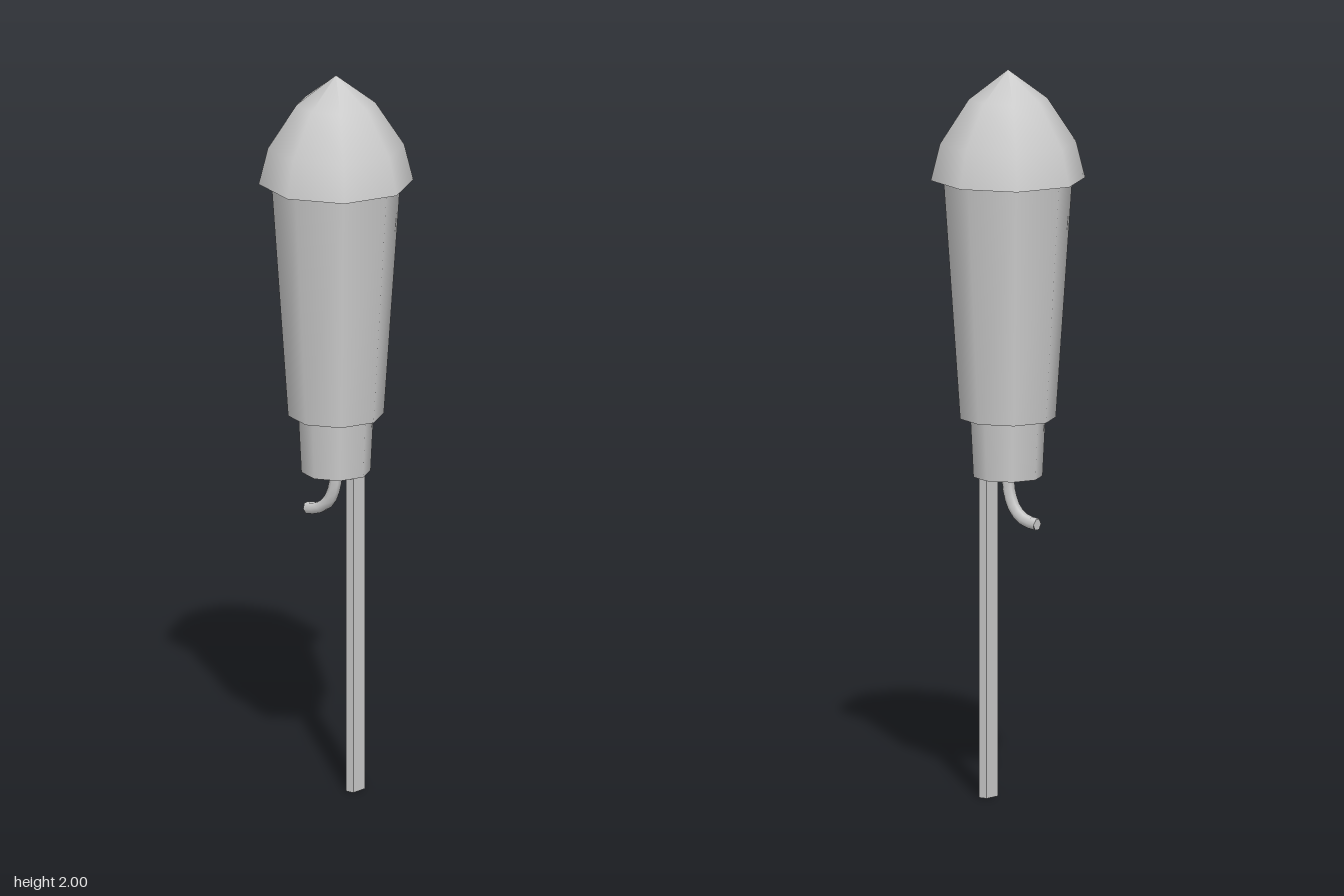
import * as THREE from 'three';

const SIDES = 8;

export function createModel() {
  const model = new THREE.Group();
  model.name = 'fireworkRocket';
  const material = new THREE.MeshStandardMaterial({ color: 0xcccccc });

  const add = (name, geometry, x = 0, y = 0, z = 0, parent = model) => {
    const mesh = new THREE.Mesh(geometry, material);
    mesh.name = name;
    mesh.position.set(x, y, z);
    parent.add(mesh);
    return mesh;
  };

  // Capped, tapered eight-sided section between two heights
  const section = (name, rTop, rBottom, yTop, yBottom) =>
    add(name, new THREE.CylinderGeometry(rTop, rBottom, yTop - yBottom, SIDES), 0, (yTop + yBottom) / 2);

  // Nose cone: rounded shell closed by a flat underside
  const nose = new THREE.Group();
  nose.name = 'noseCone';
  model.add(nose);
  const profile = [[0.21, 1.7], [0.185, 1.8], [0.107, 1.92], [0, 2]].map(([r, y]) => new THREE.Vector2(r, y));
  add('noseShell', new THREE.LatheGeometry(profile, SIDES), 0, 0, 0, nose);
  add('noseUnderside', new THREE.CircleGeometry(0.21, SIDES).rotateX(Math.PI / 2), 0, 1.7, 0, nose);

  // Body and the narrower neck below it
  section('body', 0.175, 0.13, 1.7, 1.045);
  section('neck', 0.102, 0.094, 1.045, 0.885);

  // Guide stick, set off to the left of the axis
  add('stick', new THREE.BoxGeometry(0.026, 0.9, 0.05), 0.067, 0.45);

  // Fuse curling out to the right, with a closed tip
  const fuse = new THREE.Group();
  fuse.name = 'fuse';
  model.add(fuse);
  const path = new THREE.CatmullRomCurve3(
    [[0, 0.9], [-0.004, 0.845], [-0.025, 0.797], [-0.058, 0.772], [-0.1, 0.764]]
      .map(([x, y]) => new THREE.Vector3(x, y, 0)));
  add('fuseCord', new THREE.TubeGeometry(path, 8, 0.017, 6), 0, 0, 0, fuse);
  add('fuseTip', new THREE.CircleGeometry(0.017, 6).rotateY(-Math.PI / 2), -0.1, 0.764, 0, fuse);

  return model;
}
